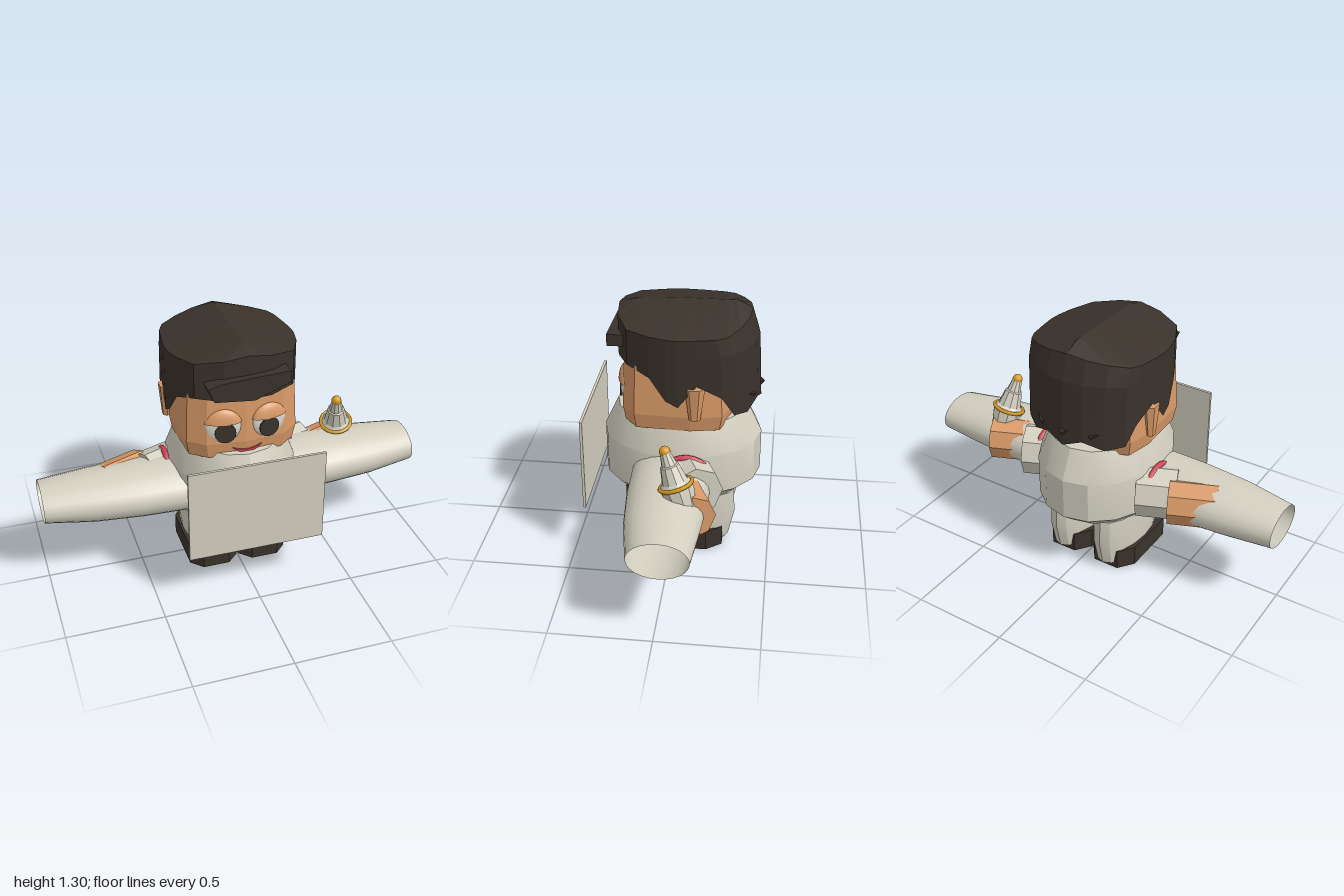
import * as THREE from 'three';
import { toCreasedNormals } from 'three/addons/utils/BufferGeometryUtils.js';

const mat = (name, color, side = THREE.FrontSide) => {
  const m = new THREE.MeshStandardMaterial({ color, side });
  m.name = name;
  return m;
};

export function createModel() {
  const root = new THREE.Group();
  const cream = mat('cream', 0xd3cfc0, THREE.DoubleSide);
  const skin = mat('skin', 0xd99a68);
  const dark = mat('dark brown', 0x3a322b, THREE.DoubleSide);
  const white = mat('eye white', 0xdad8cf);
  const gold = mat('gold', 0xd69c24);
  const red = mat('red', 0xcf4656);
  const grey = mat('grey', 0xa9a89f);

  const add = (name, geo, material, x = 0, y = 0, z = 0, parent = root) => {
    const m = new THREE.Mesh(geo, material);
    m.name = name;
    m.position.set(x, y, z);
    parent.add(m);
    return m;
  };
  const flat = (geo) => {
    const g = geo.index ? geo.toNonIndexed() : geo;
    g.computeVertexNormals();
    return g;
  };
  // elliptical lathe with softened sides and crisp profile edges
  const barrel = (pts, sides, sx, sz, crease = 0.42) => {
    const g = new THREE.LatheGeometry(pts.map(p => new THREE.Vector2(...p)), sides);
    g.scale(sx, 1, sz);
    return toCreasedNormals(g, crease);
  };
  // faceted skin through stacked closed rings of [x, y, z]
  const loft = (rings) => {
    const v = [];
    for (let r = 0; r + 1 < rings.length; r++) {
      const lo = rings[r], hi = rings[r + 1], n = lo.length;
      for (let i = 0; i < n; i++) {
        const j = (i + 1) % n;
        v.push(...lo[i], ...lo[j], ...hi[j], ...lo[i], ...hi[j], ...hi[i]);
      }
    }
    const g = new THREE.BufferGeometry();
    g.setAttribute('position', new THREE.Float32BufferAttribute(v, 3));
    g.computeVertexNormals();
    return g;
  };
  // half outline from front to back, mirrored into a full loop
  const mirror = (half) => [...half,
    ...half.slice(1, -1).reverse().map(([x, ...rest]) => [-x, ...rest])];
  const shape = (pts) => new THREE.Shape(pts.map(p => new THREE.Vector2(...p)));

  // Torso
  add('torso', barrel([[0, 0.295], [0.32, 0.295], [0.407, 0.37], [0.407, 0.59],
    [0.335, 0.745], [0, 0.745]], 16, 0.81, 1), cream, 0, 0, -0.032);

  // Head
  const face = mirror([[0, 0.268], [0.2, 0.248], [0.285, 0.18], [0.3, -0.1],
    [0.27, -0.25], [0.12, -0.3], [0, -0.3]]);
  add('head', loft([[0.72, 0.95], [0.8, 1], [1.05, 0.96], [1.2, 0.82]]
    .map(([y, s]) => face.map(([x, z]) => [x * s, y, z * s]))), skin);

  // Hair cap with a jagged lower edge: [x, z, lower edge height]
  const hair = mirror([[0, 0.285, 1.04], [0.12, 0.275, 1.04], [0.25, 0.215, 1.05],
    [0.305, 0.1, 1.01], [0.325, 0.02, 0.9], [0.33, -0.04, 0.87], [0.322, -0.13, 0.985],
    [0.305, -0.25, 0.92], [0.28, -0.31, 0.82], [0.2, -0.37, 0.8], [0.1, -0.415, 0.84],
    [0, -0.43, 0.8]]);
  add('hair', loft([
    hair.map(([x, z, y]) => [x, y, z]),
    hair.map(([x, z]) => [x, 1.14, z < 0 ? z * 0.96 : z]),
    hair.map(([x, z]) => [x, 1.22 + 0.05 * (1 - Math.abs(x) / 0.33), z < 0 ? z * 0.87 : z]),
    hair.map(([x, z]) => [0, 1.305 - 0.04 * Math.max(z, 0), z * 0.7]),
  ]), dark);
  add('quiff', new THREE.ExtrudeGeometry(shape([[-0.21, 1.14], [-0.18, 1.07], [0.02, 1.05],
    [0.2, 1.12], [0.2, 1.18], [0, 1.17], [-0.15, 1.16]]),
    { depth: 0.1, bevelEnabled: false }), dark, 0, 0, 0.22);
  for (const x of [-0.14, 0, 0.14]) {
    const spike = add('napeSpike', flat(new THREE.ConeGeometry(0.05, 0.13, 4)), dark, x, 0.83, -0.38 + Math.abs(x) * 0.25);
    spike.rotation.x = Math.PI - 0.3;
  }

  // Mouth
  const mouth = new THREE.Shape();
  mouth.moveTo(-0.075, 0.775);
  mouth.quadraticCurveTo(0, 0.735, 0.075, 0.775);
  mouth.quadraticCurveTo(0, 0.7, -0.075, 0.775);
  add('mouth', new THREE.ExtrudeGeometry(mouth, { depth: 0.008, bevelEnabled: false }), red, 0, 0, 0.262);

  const legProfile = [[0, 0.03], [0.88, 0.03], [1, 0.17], [0.97, 0.31], [0, 0.31]];
  const shoePlan = [[-0.13, -0.12], [-0.07, -0.18], [0.07, -0.18], [0.13, -0.12],
    [0.13, 0.18], [0.07, 0.26], [-0.07, 0.26], [-0.13, 0.18]];

  for (const s of [1, -1]) {
    // Eye: ball, iris disc and upper lid
    const eye = new THREE.Group();
    eye.name = 'eye';
    eye.position.set(s * 0.118, 0.89, 0.245);
    eye.rotation.y = s * 0.16;
    root.add(eye);
    const ball = add('eyeWhite', new THREE.SphereGeometry(0.09, 20, 14), white, 0, 0, 0, eye);
    ball.scale.z = 0.3;
    const iris = add('iris', new THREE.CylinderGeometry(0.053, 0.053, 0.008, 16), dark, -s * 0.01, -0.025, 0.025, eye);
    iris.rotation.x = Math.PI / 2;
    const lid = add('eyelid', new THREE.SphereGeometry(0.096, 20, 8, 0, Math.PI * 2, 0, 1.33), skin, 0, 0, 0, eye);
    lid.scale.z = 0.37;

    // Ear
    const ear = add('ear', flat(new THREE.CylinderGeometry(0.05, 0.028, 0.17, 6)), skin, s * 0.31, 0.885, -0.12);
    ear.scale.x = 0.7;

    // Leg and shoe
    add('leg', barrel(legProfile, 16, 0.125, 0.26), cream, s * 0.135, 0, -0.06);
    const shoe = new THREE.ExtrudeGeometry(shape(shoePlan), { depth: 0.11, bevelEnabled: false });
    shoe.rotateX(-Math.PI / 2);
    add('shoe', shoe, dark, s * 0.135, 0, 0);

    // Arm: shoulder ring, sleeve and hand
    const band = add('shoulderRing', new THREE.TorusGeometry(0.128, 0.016, 8, 24), red, s * 0.335, 0.468, -0.085);
    band.rotation.y = Math.PI / 2;
    const sleeve = add('sleeve', flat(new THREE.CylinderGeometry(0.138, 0.138, 0.2, 8, 1)), cream, s * 0.35, 0.465, -0.105);
    sleeve.rotation.set(Math.PI / 8, 0, Math.PI / 2, 'ZYX');
    const hand = add('hand', flat(new THREE.CylinderGeometry(0.118, 0.118, 0.24, 8)), skin, s * 0.55, 0.465, -0.1);
    hand.rotation.copy(sleeve.rotation);
  }

  // Hollow tapering tube across the body: [x, half height, half depth, centre z]
  const section = [[-1, 0.095, 0.145, -0.025], [-0.75, 0.12, 0.18, -0.012], [-0.5, 0.13, 0.2, -0.008],
    [-0.28, 0.133, 0.203, -0.005]];
  const stations = [...section, ...section.map(([x, ...r]) => [-x, ...r]).reverse()];
  const tube = loft(stations.map(([x, h, d, cz]) => Array.from({ length: 24 }, (_, i) => {
    const a = i / 24 * Math.PI * 2;
    return [x, 0.458 + h * Math.cos(a), cz - d * Math.sin(a)];
  })));
  // keep the winding facing outward
  const p = tube.attributes.position;
  const u = new THREE.Vector3().fromBufferAttribute(p, 0);
  const n = new THREE.Vector3().fromBufferAttribute(tube.attributes.normal, 0);
  if (n.y * (u.y - 0.458) < 0) {
    for (let i = 0; i < p.count; i += 3) {
      const a = [p.getX(i + 1), p.getY(i + 1), p.getZ(i + 1)];
      p.setXYZ(i + 1, p.getX(i + 2), p.getY(i + 2), p.getZ(i + 2));
      p.setXYZ(i + 2, ...a);
    }
  }
  add('crossTube', toCreasedNormals(tube, 0.6), cream);

  // Front board, apron panel and small hanging tag
  add('frontBoard', new THREE.BoxGeometry(0.7, 0.495, 0.014), cream, 0, 0.523, 0.435);
  add('apronPanel', new THREE.BoxGeometry(0.4, 0.18, 0.024), dark, -0.01, 0.23, 0.233);
  add('tag', new THREE.BoxGeometry(0.014, 0.12, 0.01), grey, -0.145, 0.27, 0.25);

  // Piping bag held in the left hand
  const bag = new THREE.Group();
  bag.name = 'pipingBag';
  bag.position.set(0.617, 0.62, -0.065);
  bag.quaternion.setFromUnitVectors(new THREE.Vector3(0, 1, 0), new THREE.Vector3(-0.03, 0.175, 0.06).normalize());
  root.add(bag);
  add('bagBody', barrel([[0, -0.27], [0.035, -0.27], [0.08, -0.03], [0.08, 0], [0.063, 0.02],
    [0.046, 0.1], [0.038, 0.105], [0.026, 0.165], [0, 0.165]], 10, 1, 1, 0.3), cream, 0, 0, 0, bag);
  const ring = add('bagRing', new THREE.TorusGeometry(0.08, 0.01, 6, 20), gold, 0, 0, 0, bag);
  ring.rotation.x = Math.PI / 2;
  add('bagTip', new THREE.SphereGeometry(0.027, 10, 8), gold, 0, 0.172, 0, bag);

  return root;
}
